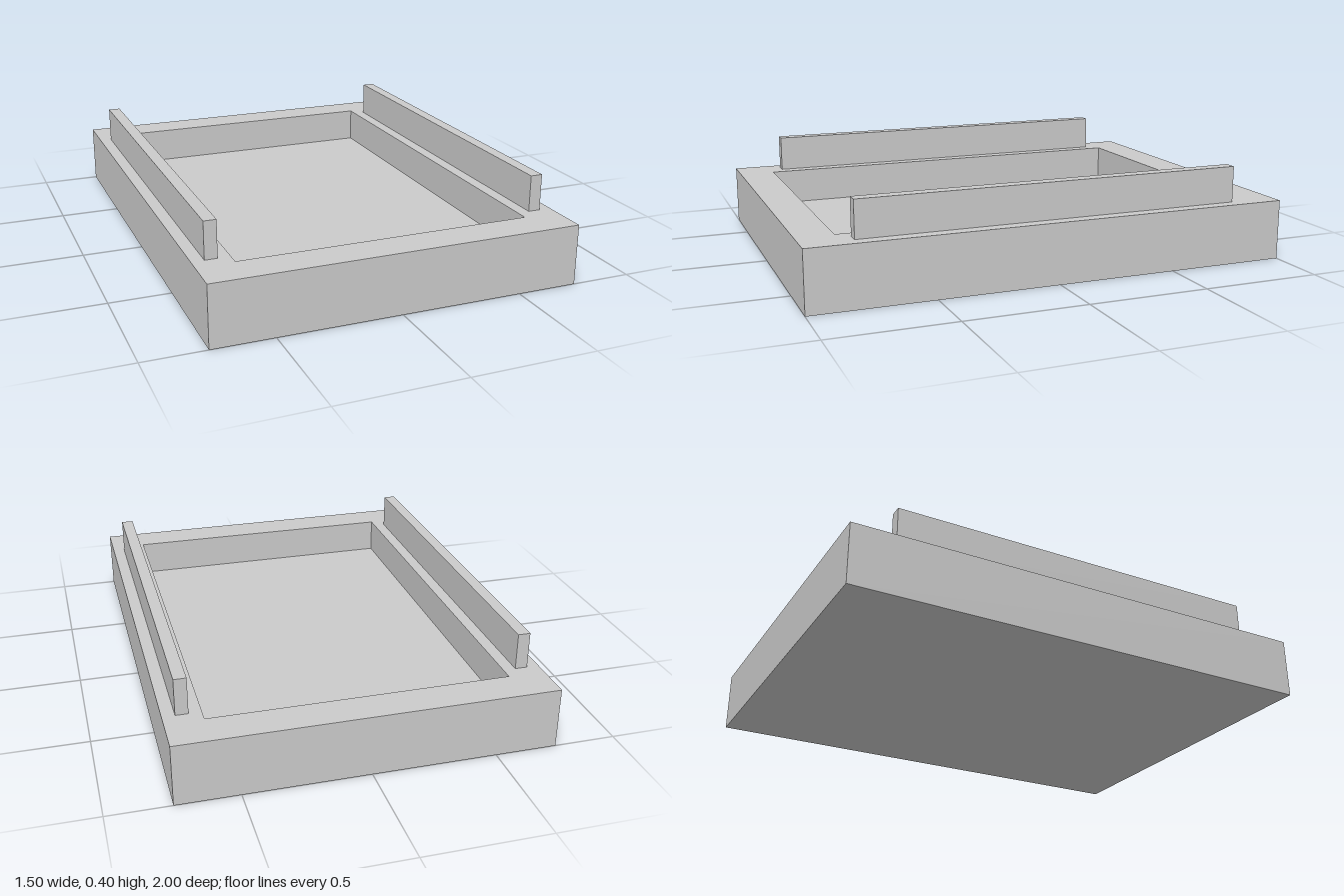
import * as THREE from 'three';

// Skins a stack of rectangular loops [halfWidth, y, halfDepth], capping both ends
function loopGeometry(loops) {
  const rings = loops.map(([w, y, d]) => [[-w, y, d], [w, y, d], [w, y, -d], [-w, y, -d]]);
  const positions = [];
  const quad = (a, b, c, d) => positions.push(...a, ...b, ...c, ...a, ...c, ...d);
  quad(...[...rings[0]].reverse());
  for (let r = 0; r < rings.length - 1; r++) {
    for (let i = 0; i < 4; i++) {
      const j = (i + 1) % 4;
      quad(rings[r][i], rings[r][j], rings[r + 1][j], rings[r + 1][i]);
    }
  }
  quad(...rings[rings.length - 1]);
  const geometry = new THREE.BufferGeometry();
  geometry.setAttribute('position', new THREE.Float32BufferAttribute(positions, 3));
  geometry.computeVertexNormals();
  return geometry;
}

export function createModel() {
  const group = new THREE.Group();
  group.name = 'trayWithRails';
  const material = new THREE.MeshStandardMaterial({ color: 0xcccccc, flatShading: true });

  // Tray: outer walls, flat rim, recess walls and recessed floor
  const tray = new THREE.Mesh(loopGeometry([
    [0.75, 0, 1],
    [0.75, 0.25, 1],
    [0.6, 0.25, 0.85],
    [0.6, 0.1, 0.85],
  ]), material);
  tray.name = 'tray';
  group.add(tray);

  // Side rails standing on the long rims
  const railGeometry = new THREE.BoxGeometry(0.05, 0.15, 1.6);
  for (const side of [-1, 1]) {
    const rail = new THREE.Mesh(railGeometry, material);
    rail.name = side > 0 ? 'leftRail' : 'rightRail';
    rail.position.set(side * 0.675, 0.325, 0);
    group.add(rail);
  }

  return group;
}
